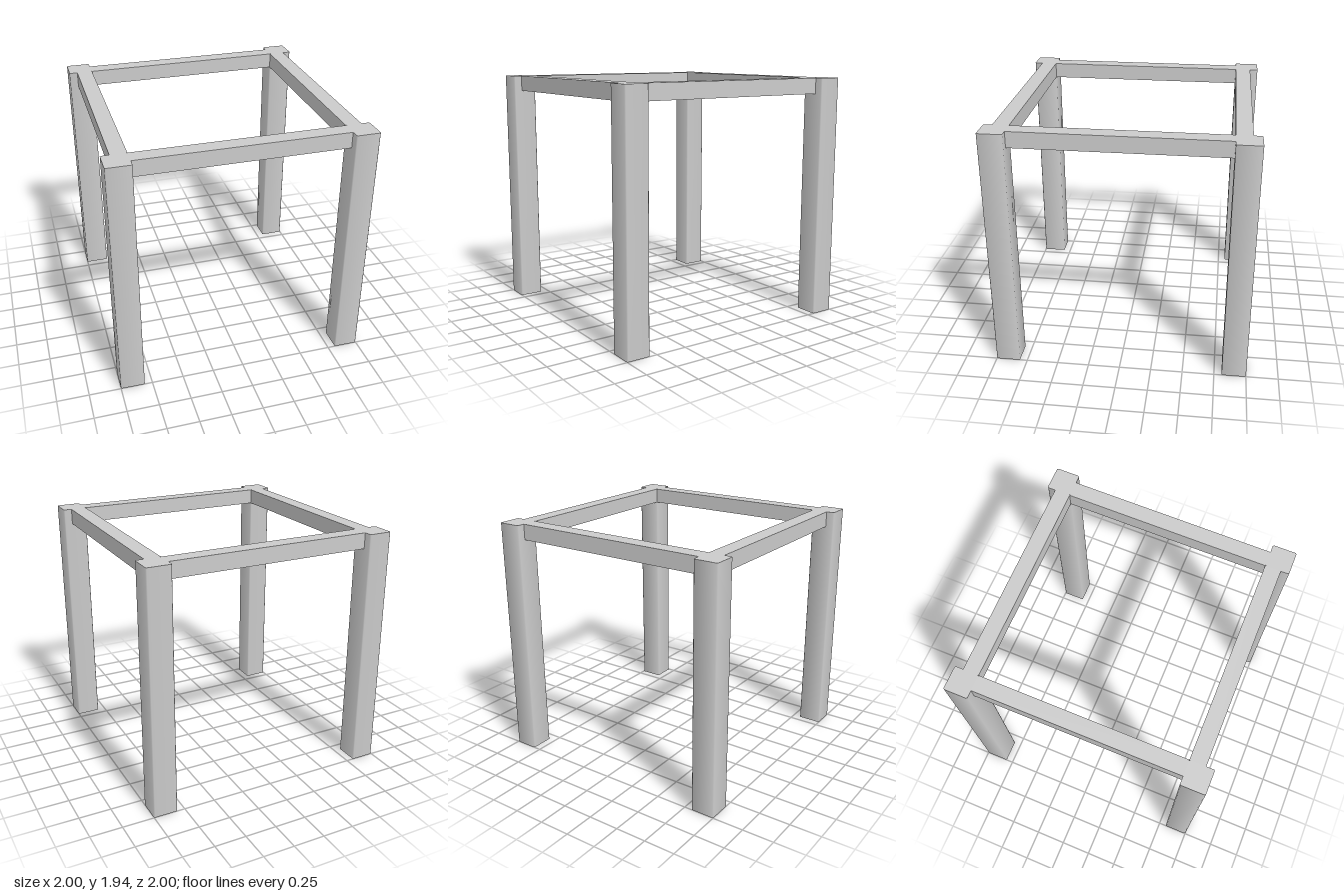
import * as THREE from 'three';
import { mergeGeometries } from 'three/addons/utils/BufferGeometryUtils.js';

const HEIGHT = 1.94;
const LEG = 0.19;      // leg thickness
const BEVEL = 0.008;   // chamfer on the long leg edges
const RAIL = 0.125;    // rail thickness
const INNER = 1 - LEG; // inner face of the legs

// Turns an eight-sided ring into a square with chamfered corners,
// keeping the ring's smooth normals.
function squareOff(geometry) {
  const p = geometry.attributes.position;
  const snap = (v) =>
    Math.abs(v) < 1e-6 ? 0 : Math.sign(v) * (Math.abs(v) > 0.5 ? LEG / 2 : LEG / 2 - BEVEL);
  for (let i = 0; i < p.count; i++) p.setXYZ(i, snap(p.getX(i)), p.getY(i), snap(p.getZ(i)));
  return geometry;
}

// Hollow post: walls and a top, open at the floor
function legGeometry() {
  const walls = squareOff(new THREE.CylinderGeometry(1, 1, HEIGHT, 8, 1, true, Math.PI / 8));
  const top = new THREE.CircleGeometry(1, 8, Math.PI / 8).rotateX(-Math.PI / 2);
  squareOff(top).translate(0, HEIGHT / 2, 0);
  return mergeGeometries([walls, top]).translate(0, HEIGHT / 2, 0);
}

export function createModel() {
  const model = new THREE.Group();
  model.name = 'tableFrame';
  const railMaterial = new THREE.MeshStandardMaterial({ color: 0xcccccc });
  const legMaterial = new THREE.MeshStandardMaterial({ color: 0xcccccc, side: THREE.DoubleSide });

  // Four corner legs
  const leg = legGeometry();
  for (const [sideName, sx] of [['Left', 1], ['Right', -1]]) {
    for (const [endName, sz] of [['front', 1], ['back', -1]]) {
      const mesh = new THREE.Mesh(leg, legMaterial);
      mesh.name = `${endName}${sideName}Leg`;
      mesh.position.set(sx * (1 - LEG / 2), 0, sz * (1 - LEG / 2));
      model.add(mesh);
    }
  }

  // Four top rails, flush with the legs' inner faces and tops
  const rail = new THREE.BoxGeometry(INNER * 2, RAIL, RAIL);
  ['front', 'left', 'back', 'right'].forEach((name, i) => {
    const angle = (i * Math.PI) / 2;
    const offset = INNER + RAIL / 2;
    const mesh = new THREE.Mesh(rail, railMaterial);
    mesh.name = `${name}Rail`;
    mesh.rotation.y = angle;
    mesh.position.set(Math.sin(angle) * offset, HEIGHT - RAIL / 2, Math.cos(angle) * offset);
    model.add(mesh);
  });

  return model;
}
